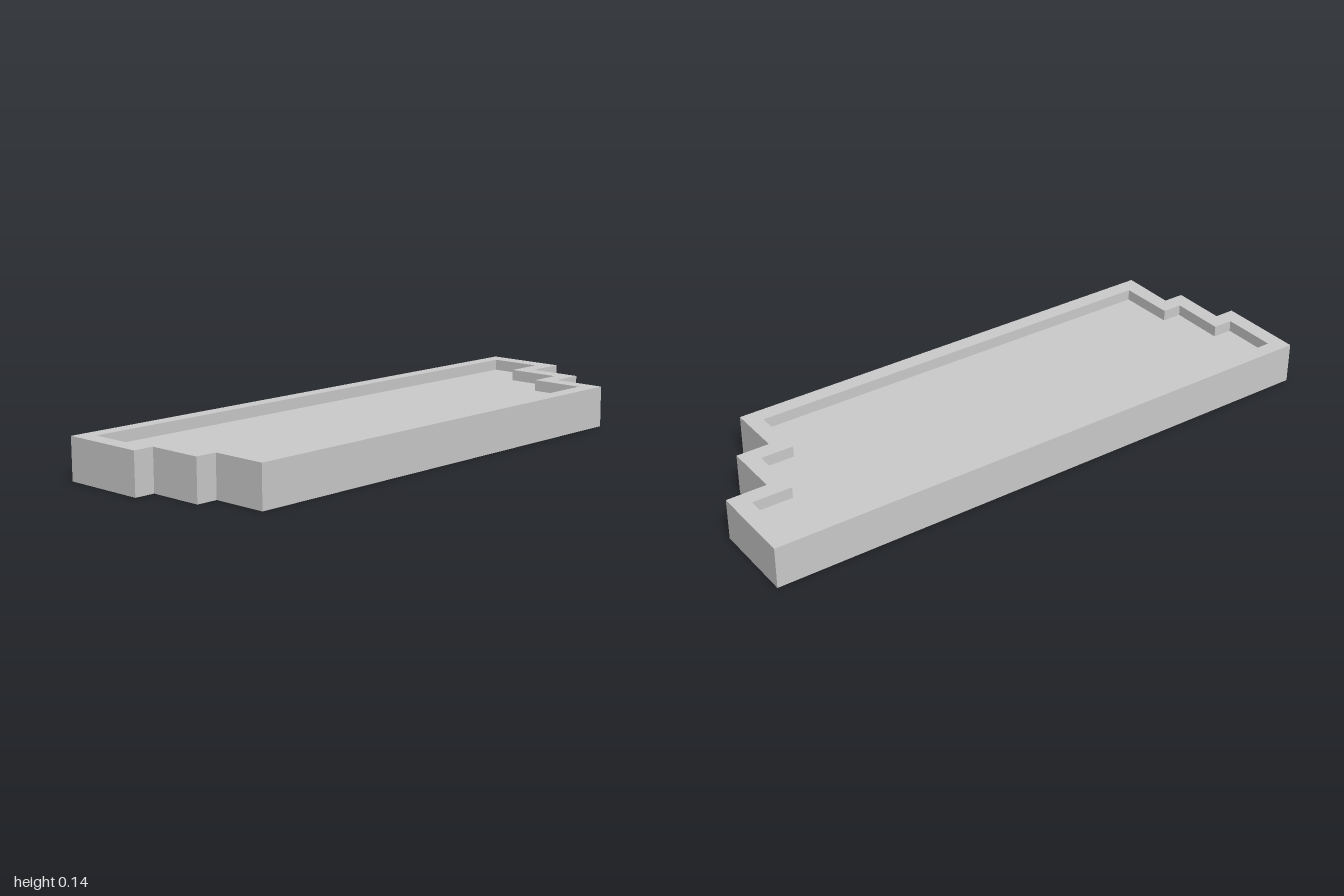
import * as THREE from 'three';

const HEIGHT = 0.14;

// Stepped outlines as [x, z] corners
const OUTER = [
  [-1, -0.34], [1, -0.34], [1, -0.047], [0.863, -0.047], [0.863, 0.145], [0.75, 0.145],
  [0.75, 0.335], [-0.857, 0.34], [-0.857, 0.148], [-0.93, 0.148], [-0.93, -0.043], [-1, -0.043],
];
const INNER = [
  [-0.945, -0.289], [0.942, -0.289], [0.942, -0.102], [0.807, -0.102], [0.807, 0.09], [0.695, 0.09],
  [0.695, 0.28], [-0.80, 0.284], [-0.805, 0.091], [-0.875, 0.091], [-0.875, -0.098], [-0.945, -0.098],
];

const toPoints = (outline) => outline.map(([x, z]) => new THREE.Vector2(x, z));

// Extrudes a plan-view shape between two heights
function slab(name, shape, bottom, top, material) {
  const geometry = new THREE.ExtrudeGeometry(shape, { depth: top - bottom, bevelEnabled: false });
  geometry.rotateX(Math.PI / 2).translate(0, top, 0);
  const mesh = new THREE.Mesh(geometry, material);
  mesh.name = name;
  return mesh;
}

export function createModel() {
  const group = new THREE.Group();
  group.name = 'steppedTray';
  const material = new THREE.MeshStandardMaterial({ color: 0xcccccc, flatShading: true });

  // Full-height wall around the tray
  const wall = new THREE.Shape(toPoints(OUTER));
  wall.holes.push(new THREE.Path(toPoints(INNER)));
  group.add(slab('wall', wall, 0, HEIGHT, material));

  // Thin floor, recessed from above and below
  group.add(slab('floor', new THREE.Shape(toPoints(INNER)), 0.072, 0.102, material));

  return group;
}
